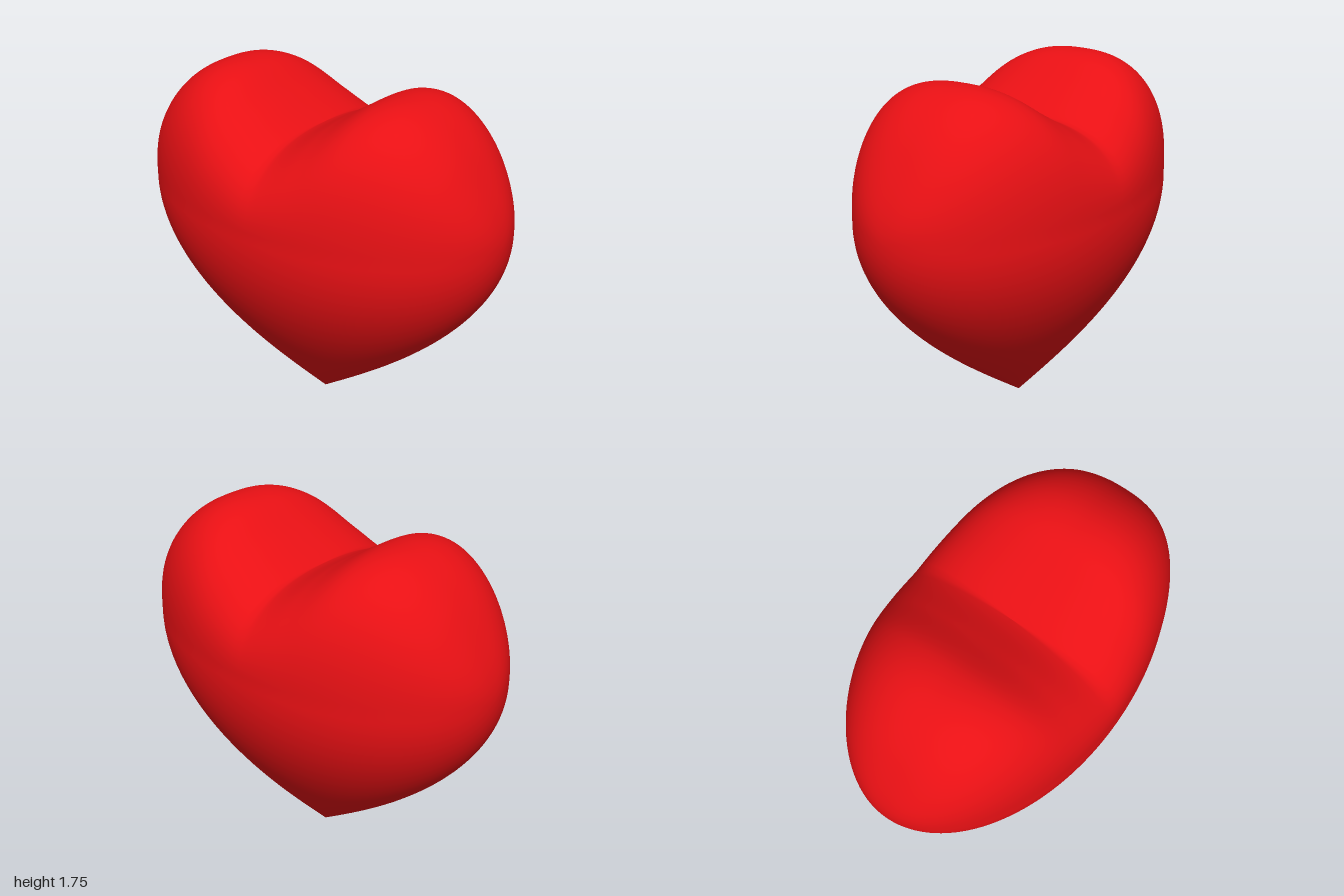
import * as THREE from 'three';

const HALF_X = 0.605;     // half thickness
const WAIST = 1.14;       // height of the widest section
const SEGMENTS = 144, LOWER_ROWS = 44, UPPER_ROWS = 56;

// Fullness of the lobes from the cleft (z = 0) out to the tip (|z| = 1)
const lobe = new THREE.SplineCurve(
  [0.385, 0.5, 0.657, 0.7375, 0.733, 0.62].map((q, i) => new THREE.Vector2(i / 5, q)));

const thickness = y => HALF_X * Math.sin(Math.PI / 2 * y / 1.08);
const width = y => Math.sin(Math.PI / 2 * y / WAIST);

// Pointed lower body: elliptical sections growing from the tip
function lowerPoint(t, a) {
  const y = WAIST * t;
  return [thickness(y) * Math.sin(a), y, width(y) * Math.cos(a)];
}

// Two-lobed top: a rounded arch across x, raised by the lobe curve along z
function upperPoint(t, a) {
  const r = Math.cos(t * Math.PI / 2);
  const z = r * Math.cos(a), x = r * Math.sin(a);
  const span = Math.sqrt(Math.max(0, 1 - z * z));
  const s = span > 1e-6 ? Math.min(1, Math.abs(x) / span) : 0;
  const height = span * lobe.getPoint(Math.min(1, Math.abs(z))).y;
  const y = WAIST + height * Math.pow(Math.max(0, 1 - Math.pow(s, 2.5)), 0.4);
  return [thickness(WAIST) * x, y, z];
}

function heartGeometry() {
  const positions = [], index = [];
  const rows = LOWER_ROWS + UPPER_ROWS;
  for (let j = 0; j <= rows; j++) {
    for (let i = 0; i < SEGMENTS; i++) {
      const a = i / SEGMENTS * Math.PI * 2;
      positions.push(...(j <= LOWER_ROWS
        ? lowerPoint(j / LOWER_ROWS, a)
        : upperPoint((j - LOWER_ROWS) / UPPER_ROWS, a)));
    }
  }
  for (let j = 0; j < rows; j++) {
    for (let i = 0; i < SEGMENTS; i++) {
      const k = (i + 1) % SEGMENTS;
      const p = j * SEGMENTS + i, q = j * SEGMENTS + k;
      if (j > 0) index.push(p, q, q + SEGMENTS);
      if (j < rows - 1) index.push(p, q + SEGMENTS, p + SEGMENTS);
    }
  }
  // close the top centre, whose row collapses to one point
  const geometry = new THREE.BufferGeometry();
  geometry.setAttribute('position', new THREE.Float32BufferAttribute(positions, 3));
  geometry.setIndex(index);
  geometry.computeVertexNormals();
  return geometry;
}

export function createModel() {
  const group = new THREE.Group();
  group.name = 'heart';
  const body = new THREE.Mesh(heartGeometry(), new THREE.MeshStandardMaterial({ color: 0xe81014 }));
  body.name = 'heartBody';
  group.add(body);
  return group;
}
